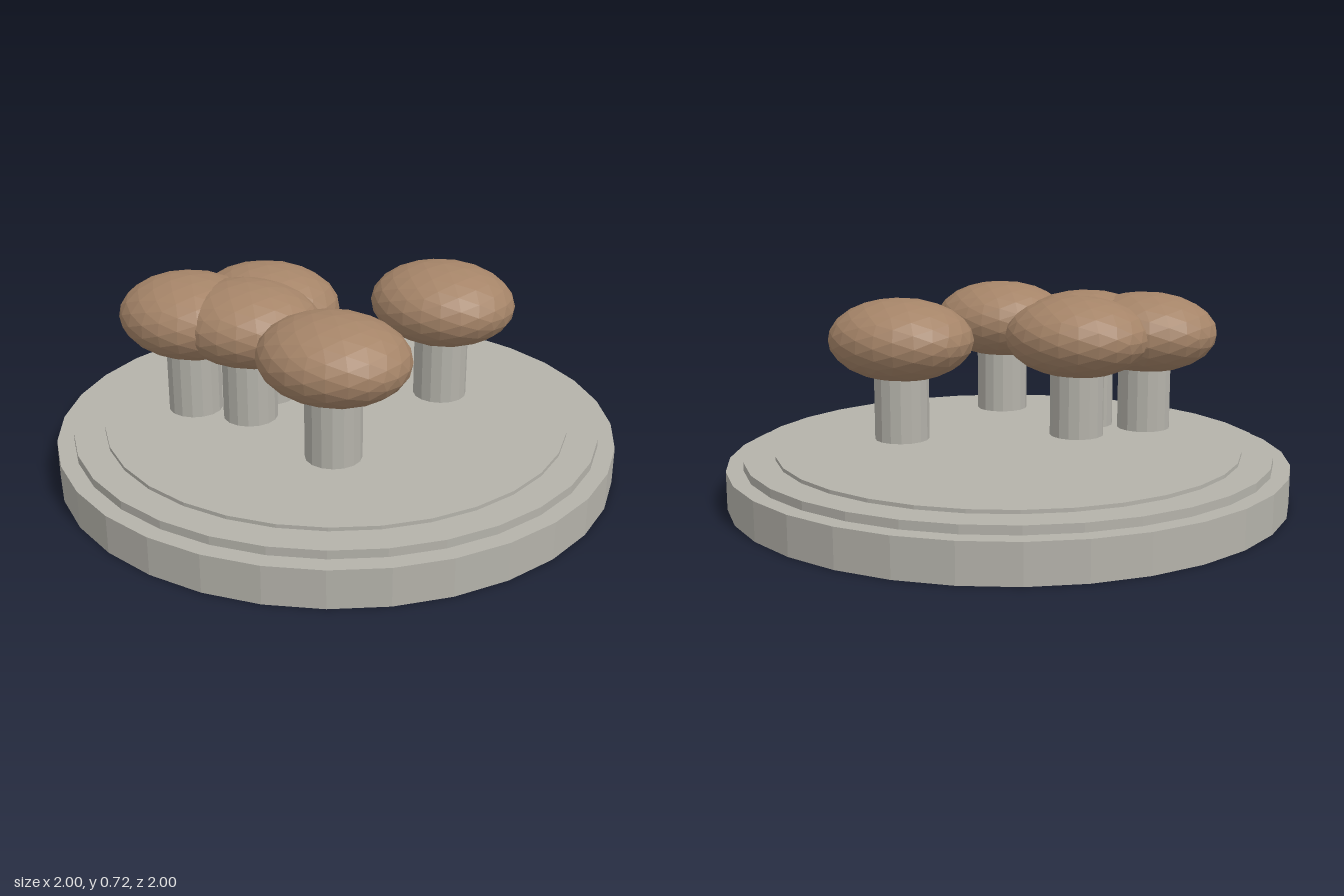
import * as THREE from 'three';

export function createModel() {
  const group = new THREE.Group();
  const stone = new THREE.MeshStandardMaterial({ color: 0xb4b2aa, flatShading: true });
  stone.name = 'pale stone';
  const brown = new THREE.MeshStandardMaterial({ color: 0xa58468, flatShading: true });
  brown.name = 'cap brown';

  const add = (parent, name, geometry, material, x, y, z) => {
    const mesh = new THREE.Mesh(geometry, material);
    mesh.name = name;
    mesh.position.set(x, y, z);
    parent.add(mesh);
  };

  // Stepped round base: name, radius, bottom, top
  const tiers = [
    ['baseDisc', 1, 0, 0.135],
    ['baseStep', 0.94, 0.135, 0.165],
    ['baseTop', 0.83, 0.165, 0.178],
  ];
  for (const [name, r, y0, y1] of tiers) {
    add(group, name, new THREE.CylinderGeometry(r, r, y1 - y0, 32), stone, 0, (y0 + y1) / 2, 0);
  }

  // Mushrooms hovering just above the base: a stem and a flattened faceted cap
  const stemGeometry = new THREE.CylinderGeometry(0.096, 0.096, 0.33, 16);
  const capGeometry = new THREE.IcosahedronGeometry(1, 3).scale(0.26, 0.145, 0.226);
  const spots = [[0.32, -0.215], [-0.24, 0.055], [-0.435, 0.255], [-0.222, 0.24], [0.173, 0.405]];
  for (const [x, z] of spots) {
    const mushroom = new THREE.Group();
    mushroom.name = 'mushroom';
    mushroom.position.set(x, 0, z);
    add(mushroom, 'stem', stemGeometry, stone, 0, 0.385, 0);
    add(mushroom, 'cap', capGeometry, brown, 0, 0.572, 0);
    group.add(mushroom);
  }
  return group;
}
